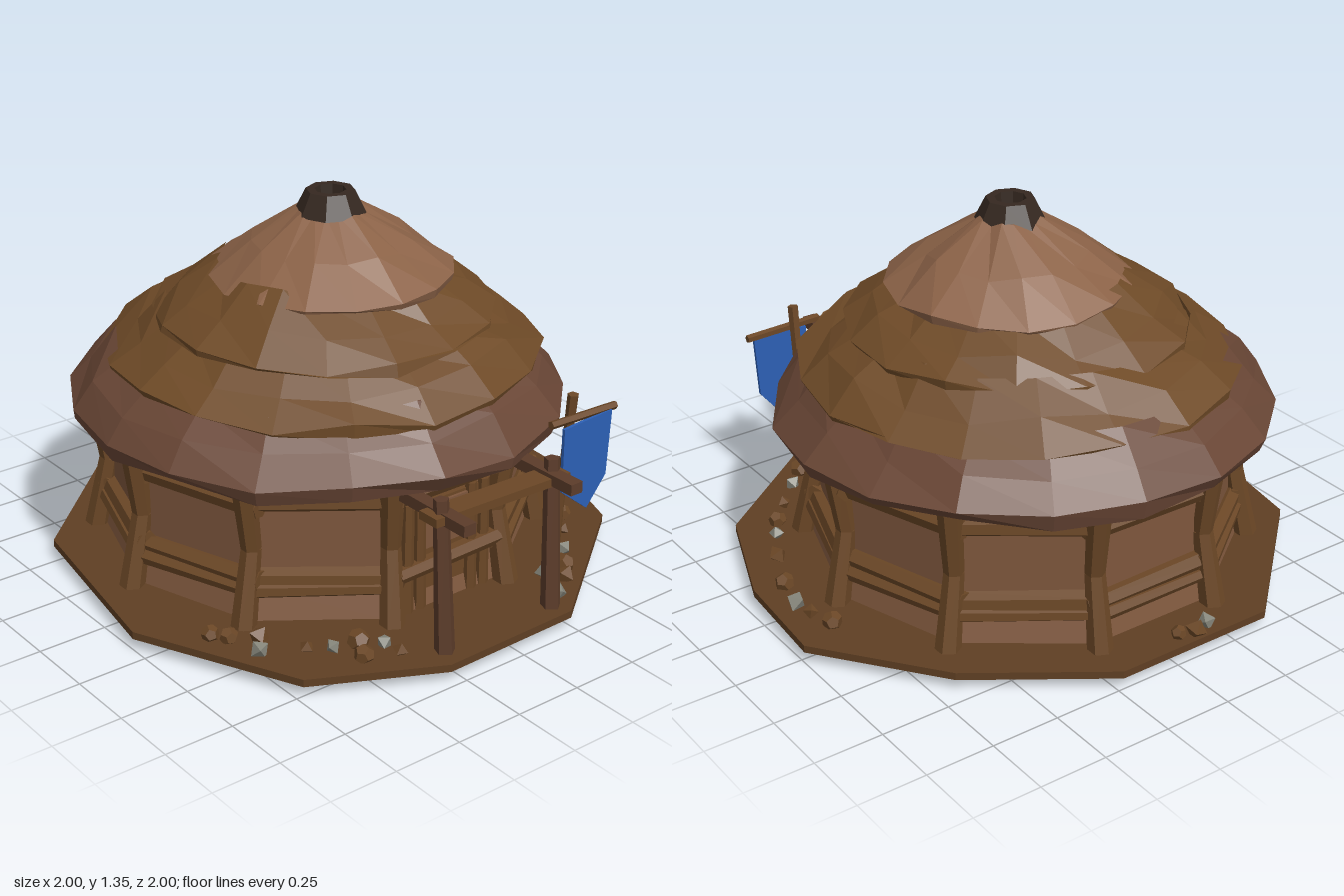
import * as THREE from 'three';

const mat = (color, side = THREE.FrontSide) => new THREE.MeshStandardMaterial({ color, flatShading: true, side });
const WOOD = mat(0x6b4726), DARK = mat(0x5c3c2a), EARTH = mat(0x5f3f23), WALL = mat(0x7d563c);
const CROWN = mat(0x8b6247), THATCH = mat(0x6e4a27), EAVE = mat(0x694635), SOOT = mat(0x352820);
const CLOTH = mat(0x2c5fb4, THREE.DoubleSide), STONE = mat(0x85857a);
const V = (x, y, z) => new THREE.Vector3(x, y, z);

// Seeded noise in -1..1
let seed = 7;
const rnd = () => { seed = (seed * 16807) % 2147483647; return seed / 1073741823.5 - 1; };

export function createModel() {
  const model = new THREE.Group();
  const add = (name, geo, material, parent = model) => {
    const m = new THREE.Mesh(geo, material);
    m.name = name;
    parent.add(m);
    return m;
  };
  const group = (name, x = 0, z = 0) => {
    const g = new THREE.Group();
    g.name = name;
    g.position.set(x, 0, z);
    model.add(g);
    return g;
  };
  // Rough timber between two points
  const timber = (name, a, b, r0, r1, parent, material = WOOD, sides = 6) => {
    const d = b.clone().sub(a);
    const m = add(name, new THREE.CylinderGeometry(r1, r0, d.length(), sides), material, parent);
    m.position.copy(a).add(b).multiplyScalar(0.5);
    m.quaternion.setFromUnitVectors(V(0, 1, 0), d.normalize());
    return m;
  };

  // Irregular earth platform
  const outline = [[-0.38, -1], [0.23, -1], [0.68, -0.69], [1, -0.27], [0.97, 0.12], [0.81, 0.54],
    [0.24, 0.97], [-0.3, 0.98], [-0.73, 0.76], [-1, 0.18], [-0.88, -0.53]];
  const slab = new THREE.Shape(outline.map(([x, z]) => new THREE.Vector2(x, -z)));
  const slabGeo = new THREE.ExtrudeGeometry(slab, { depth: 0.027, bevelEnabled: false });
  add('platform', slabGeo.rotateX(-Math.PI / 2).translate(0, 0.04, 0), EARTH);

  // Ten-sided wall with a flared skirt; the doorway faces the front
  const house = group('walls', -0.03, -0.09);
  const N = 10, step = Math.PI * 2 / N;
  const at = (i, r, y) => V(Math.cos(i * step) * r, y, Math.sin(i * step) * r);
  const wallProfile = [[0.77, 0.06], [0.735, 0.18], [0.73, 0.62]].map(p => new THREE.Vector2(...p));
  const wallGeo = new THREE.LatheGeometry(wallProfile, N, Math.PI / 2);
  add('wallPanels', wallGeo, WALL, house);

  for (let i = 0; i < N; i++) {
    // Crooked post: leans in to the middle and out again to the eave
    const knee = at(i, 0.745, 0.33);
    timber('postLower', at(i + rnd() * 0.03, 0.8, 0.06), knee, 0.045, 0.035, house);
    timber('postUpper', knee, at(i + rnd() * 0.03, 0.78, 0.6), 0.035, 0.043, house);
    for (const y of [0.22, 0.5]) {
      if (i === 2 && y < 0.3) continue;
      const j = () => y + rnd() * 0.012;
      timber('rail', at(i - 0.08, 0.755, j()), at(i + 1.08, 0.755, j()), 0.04, 0.036, house);
      if (y < 0.3) timber('lowerRail', at(i, 0.765, j() - 0.045), at(i + 1, 0.765, j() - 0.04), 0.025, 0.03, house);
    }
  }

  // Door with jambs and a half-height plank
  const door = group('door', -0.03, 0.61);
  add('doorLeaf', new THREE.BoxGeometry(0.3, 0.4, 0.03), WOOD, door).position.set(0, 0.25, 0);
  for (const x of [-0.17, -0.115, 0.11, 0.165])
    timber('jamb', V(x, 0.06, 0.02), V(x + rnd() * 0.01, 0.47, 0.02), 0.025, 0.02, door);
  timber('doorBar', V(-0.22, 0.22, 0.03), V(0.22, 0.235, 0.03), 0.03, 0.033, door);
  add('doorInset', new THREE.BoxGeometry(0.2, 0.16, 0.02), WALL, door).position.set(0, 0.36, 0.015);

  // Porch frame
  const porch = group('porch', -0.025, 0);
  for (const s of [-1, 1]) {
    timber('porchPost', V(s * 0.235, 0.06, 0.9), V(s * 0.24, 0.61, 0.87), 0.036, 0.027, porch, DARK, 5);
    const b = add('porchSideBeam', new THREE.BoxGeometry(0.05, 0.04, 0.4), DARK, porch);
    b.position.set(s * 0.23, 0.55, 0.8);
  }
  const lintel = add('porchLintel', new THREE.BoxGeometry(0.58, 0.03, 0.085), WOOD, porch);
  lintel.position.set(0, 0.545, 0.865);
  lintel.rotation.z = -0.02;

  // Overlapping thatch tiers with ragged, sagging edges
  const tier = (name, n, pts, cx, cz, material, rough) => {
    const geo = new THREE.LatheGeometry(pts.map(p => new THREE.Vector2(...p)), n, rnd() * 0.3);
    const p = geo.attributes.position, k = pts.length;
    const wobble = Array.from({ length: n * k }, () => [rnd(), rnd()]);
    for (let v = 0; v < p.count; v++) {
      const [a, b] = wobble[v % (n * k)];
      const s = 1 + a * rough * 0.7;
      p.setXYZ(v, p.getX(v) * s, p.getY(v) + b * rough, p.getZ(v) * s);
    }
    add(name, geo, material, roof).position.set(cx, 0, cz);
  };
  const roof = group('roof');
  tier('eaveTier', 18, [[0.7, 0.59], [0.865, 0.58], [0.885, 0.62], [0.8, 0.72], [0.7, 0.81]], -0.035, -0.08, EAVE, 0.02);
  tier('lowerTier', 18, [[0.62, 0.75], [0.76, 0.76], [0.765, 0.78], [0.66, 0.86], [0.54, 0.94]], -0.015, -0.07, THATCH, 0.025);
  tier('upperTier', 16, [[0.45, 0.88], [0.6, 0.9], [0.6, 0.92], [0.5, 0.99], [0.36, 1.08]], -0.02, -0.06, THATCH, 0.025);
  tier('crownTier', 16, [[0.3, 1.03], [0.42, 1.04], [0.43, 1.06], [0.28, 1.17], [0.1, 1.285], [0.001, 1.3]], 0, -0.035, CROWN, 0.012);

  // Smoke-hole collar
  const collar = [[0.125, 1.265], [0.085, 1.345], [0.055, 1.345], [0.05, 1.28]].map(p => new THREE.Vector2(...p));
  add('smokeCollar', new THREE.LatheGeometry(collar, 8), SOOT, roof).position.set(-0.01, 0, -0.03);

  // Banner on a bent pole
  const banner = group('banner');
  timber('poleLower', V(0.4, 0, 0.71), V(0.405, 0.4, 0.73), 0.016, 0.016, banner, WOOD, 5);
  timber('poleUpper', V(0.405, 0.4, 0.73), V(0.4, 0.75, 0.768), 0.016, 0.02, banner, WOOD, 5);
  timber('crossbar', V(0.29, 0.67, 0.78), V(0.59, 0.662, 0.78), 0.015, 0.015, banner, WOOD, 5);
  const cloth = new THREE.Shape([[0.34, 0.645], [0.34, 0.41], [0.46, 0.315], [0.545, 0.42], [0.56, 0.66]]
    .map(p => new THREE.Vector2(...p)));
  const clothGeo = new THREE.ExtrudeGeometry(cloth, { depth: 0.012, bevelEnabled: false });
  add('bannerCloth', clothGeo.translate(0, 0, 0.785), CLOTH, banner);

  // Loose stones around the wall
  const stones = group('stones');
  const spots = [[-0.82, 0.37], [-0.75, 0.55], [-0.62, 0.63], [-0.5, 0.78], [-0.4, 0.76], [-0.39, 0.83],
    [-0.46, 0.7], [-0.55, 0.68], [-0.7, 0.48], [-0.78, 0.42], [0.27, 0.87], [0.37, 0.8], [0.42, 0.74],
    [0.5, 0.66], [0.6, 0.55], [0.68, 0.46], [0.73, 0.38], [0.8, 0.25], [0.87, 0.08], [0.9, -0.05],
    [0.89, -0.13], [0.86, -0.22], [0.33, 0.74], [-0.1, -0.97], [-0.04, -0.95], [-0.16, -0.95]];
  spots.forEach(([x, z], i) => {
    const r = 0.033 + rnd() * 0.007;
    const s = add('stone', i % 3 ? new THREE.OctahedronGeometry(r) : new THREE.DodecahedronGeometry(r),
      i % 3 === 1 ? STONE : WOOD, stones);
    s.position.set(x, 0.085, z);
    s.rotation.set(rnd() * 3, rnd() * 3, rnd() * 3);
  });

  return model;
}
